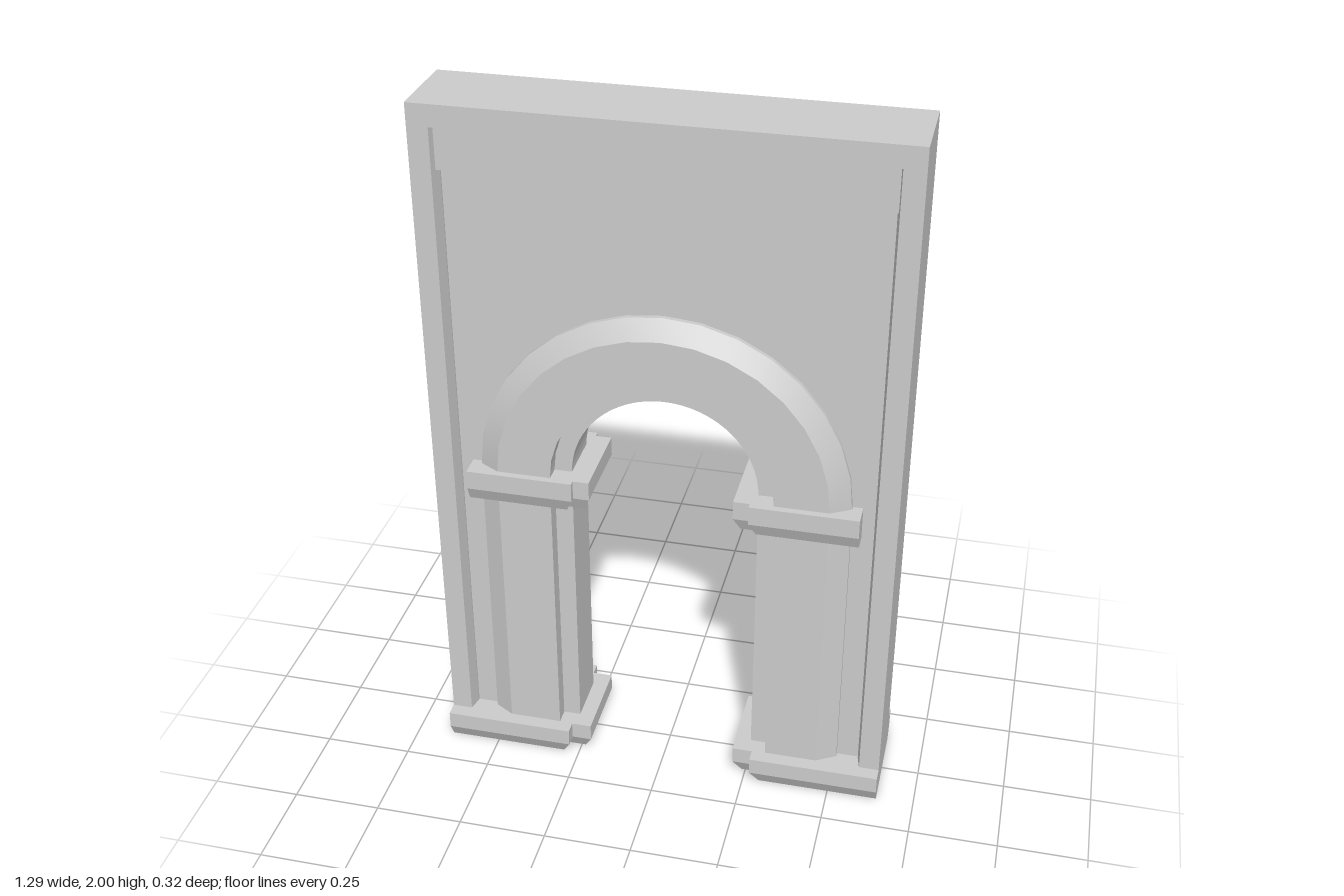
import * as THREE from 'three';
import { ConvexGeometry } from 'three/addons/geometries/ConvexGeometry.js';

const SPRING = 0.95; // height where the arch begins
const STEPS = 16;    // segments in the half circle
const material = new THREE.MeshStandardMaterial({ color: 0xcccccc });

export function createModel() {
  const group = new THREE.Group();
  const add = (name, geometry) => {
    const mesh = new THREE.Mesh(geometry, material);
    mesh.name = name;
    group.add(mesh);
    return mesh;
  };
  const box = (name, w, y0, y1, d) =>
    add(name, new THREE.BoxGeometry(w, y1 - y0, d)).position.set(0, (y0 + y1) / 2, 0);

  // Recessed wall with the arched opening
  const wall = new THREE.Shape();
  wall.moveTo(-0.6, 0);
  wall.lineTo(-0.26, 0);
  wall.lineTo(-0.26, SPRING);
  wall.absarc(0, SPRING, 0.26, Math.PI, 0, true);
  wall.lineTo(0.26, 0);
  wall.lineTo(0.6, 0);
  wall.lineTo(0.6, 1.95);
  wall.lineTo(-0.6, 1.95);
  const wallGeometry = new THREE.ExtrudeGeometry(wall, { depth: 0.15, bevelEnabled: false, curveSegments: STEPS });
  add('wall', wallGeometry.translate(0, 0, -0.075));

  // Raised frame: top rail, stepped band below it, and jambs with sloped reveals
  box('topRail', 1.286, 1.94, 2, 0.24);
  box('topBand', 1.17, 1.82, 1.945, 0.2);
  for (const s of [-1, 1]) {
    const points = [];
    for (const y of [0, 1.94]) {
      for (const z of [-1, 1]) {
        for (const [x, d] of [[0.643, 0.12], [0.586, 0.12], [0.577, 0.08]]) {
          points.push(new THREE.Vector3(s * x, y, z * d));
        }
      }
    }
    add(s > 0 ? 'leftJamb' : 'rightJamb', new ConvexGeometry(points));
  }

  // Moulding running up the piers and round the arch, on both faces
  for (const side of [1, -1]) add(side > 0 ? 'frontMoulding' : 'backMoulding', mouldingGeometry(side));

  // Capitals and bases: a wide block and a narrower one reaching into the opening
  for (const s of [-1, 1]) {
    const label = s > 0 ? 'left' : 'right';
    add(label + 'Capital', taperedBlock(s, 0.245, 0.543, 0.14, 0.86, 0.9, 0.955, 0.018));
    add(label + 'CapitalInner', taperedBlock(s, 0.2, 0.4, 0.123, 0.86, 0.9, 0.955, 0.018));
    add(label + 'Base', taperedBlock(s, 0.272, 0.643, 0.16, 0, 0.045, 0.095, 0.024));
    add(label + 'BaseInner', taperedBlock(s, 0.215, 0.4, 0.123, 0, 0.045, 0.095, 0.024));
  }
  return group;
}

// Block whose lower part narrows on the front, back and inner sides
function taperedBlock(s, inner, outer, depth, y0, yMid, y1, taper) {
  const points = [];
  for (const [y, t] of [[y0, taper], [yMid, 0], [y1, 0]]) {
    for (const z of [-1, 1]) {
      points.push(new THREE.Vector3(s * (inner + t), y, z * (depth - t)));
      points.push(new THREE.Vector3(s * outer, y, z * (depth - t)));
    }
  }
  return new ConvexGeometry(points);
}

// Sweeps the profile (radius, depth) up one pier, round the arch and down the other
function mouldingGeometry(side) {
  const profile = [[0.515, 0.07], [0.515, 0.088], [0.46, 0.12], [0.31, 0.12], [0.31, 0.07]];
  const stations = [[0, 0]];
  for (let i = 0; i <= STEPS; i++) stations.push([(Math.PI * i) / STEPS, SPRING]);
  stations.push([Math.PI, 0]);

  const positions = [], index = [];
  for (let p = 0; p < profile.length - 1; p++) {
    const start = positions.length / 3;
    for (const [angle, y] of stations) {
      for (const [r, z] of [profile[p], profile[p + 1]]) {
        positions.push(r * Math.cos(angle), y + r * Math.sin(angle), side * z);
      }
    }
    for (let i = 0; i < stations.length - 1; i++) {
      const a = start + i * 2, b = a + 1, c = a + 2, d = a + 3;
      if (side > 0) index.push(a, c, b, b, c, d);
      else index.push(a, b, c, b, d, c);
    }
  }
  const geometry = new THREE.BufferGeometry();
  geometry.setAttribute('position', new THREE.Float32BufferAttribute(positions, 3));
  geometry.setIndex(index);
  geometry.computeVertexNormals();
  return geometry;
}
